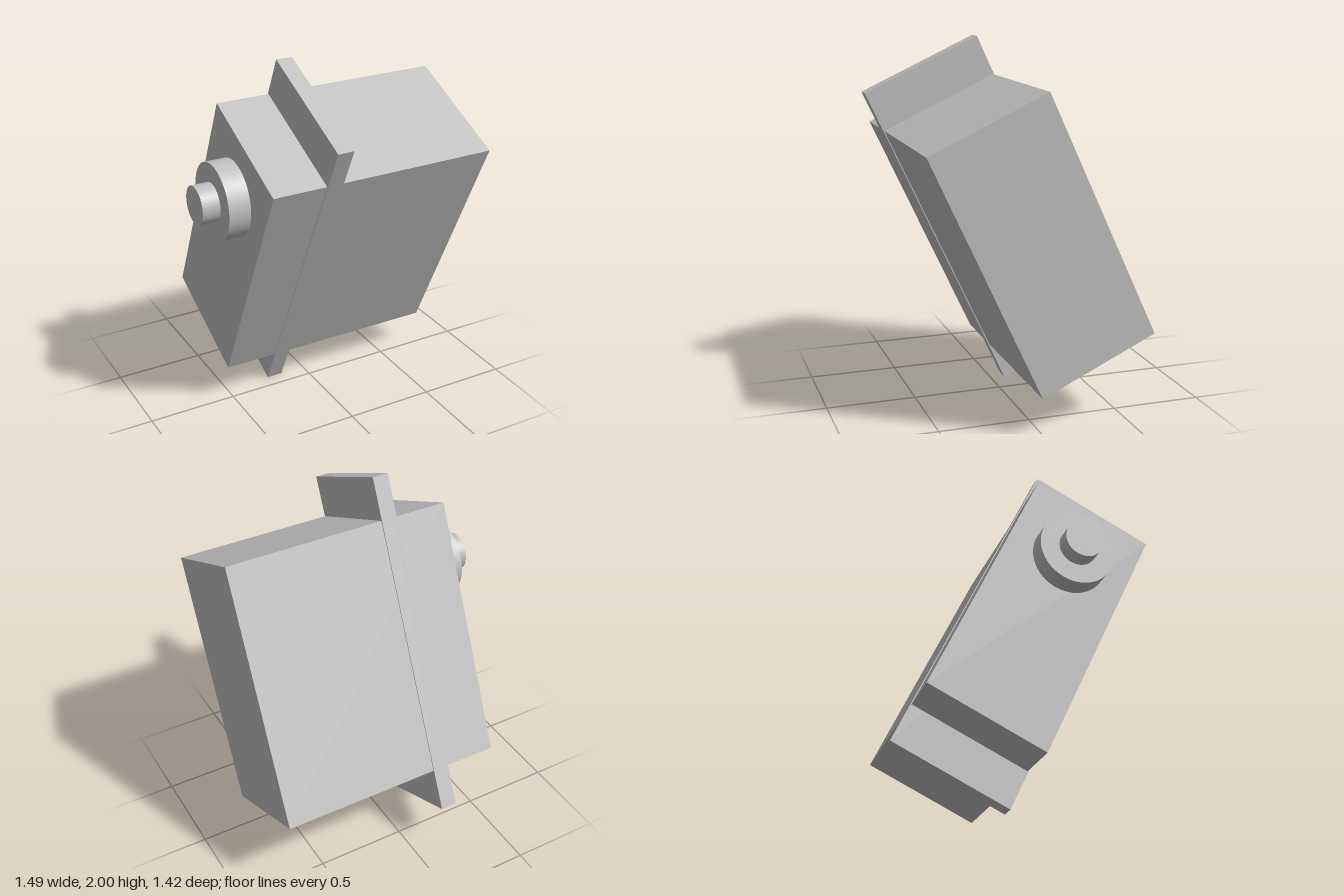
import * as THREE from 'three';

export function createModel() {
  const model = new THREE.Group();
  const grey = new THREE.MeshStandardMaterial({ color: 0xc0c0c0 });
  grey.name = 'light grey';

  // Everything shares one tilted frame, leaning forward about x
  const servo = new THREE.Group();
  servo.name = 'tiltedServo';
  servo.position.y = 1;
  servo.rotation.x = THREE.MathUtils.degToRad(24.9);
  model.add(servo);

  const add = (name, geometry, x0, x1, y) => {
    const mesh = new THREE.Mesh(geometry, grey);
    mesh.name = name;
    mesh.position.set((x0 + x1) / 2, y, 0);
    servo.add(mesh);
  };
  const block = (name, x0, x1, height, depth) =>
    add(name, new THREE.BoxGeometry(x1 - x0, height, depth), x0, x1, 0);
  const disc = (name, x0, x1, radius, y) =>
    add(name, new THREE.CylinderGeometry(radius, radius, x1 - x0, 64).rotateZ(Math.PI / 2), x0, x1, y);

  // Main case and the mounting plate that runs past both ends
  block('case', -0.53, 0.745, 1.418, 0.684);
  block('mountingPlate', -0.235, -0.145, 1.88, 0.695);

  // Stepped output on the right face
  disc('outputBoss', -0.65, -0.53, 0.208, 0.363);
  disc('outputShaft', -0.747, -0.65, 0.104, 0.363);

  return model;
}
